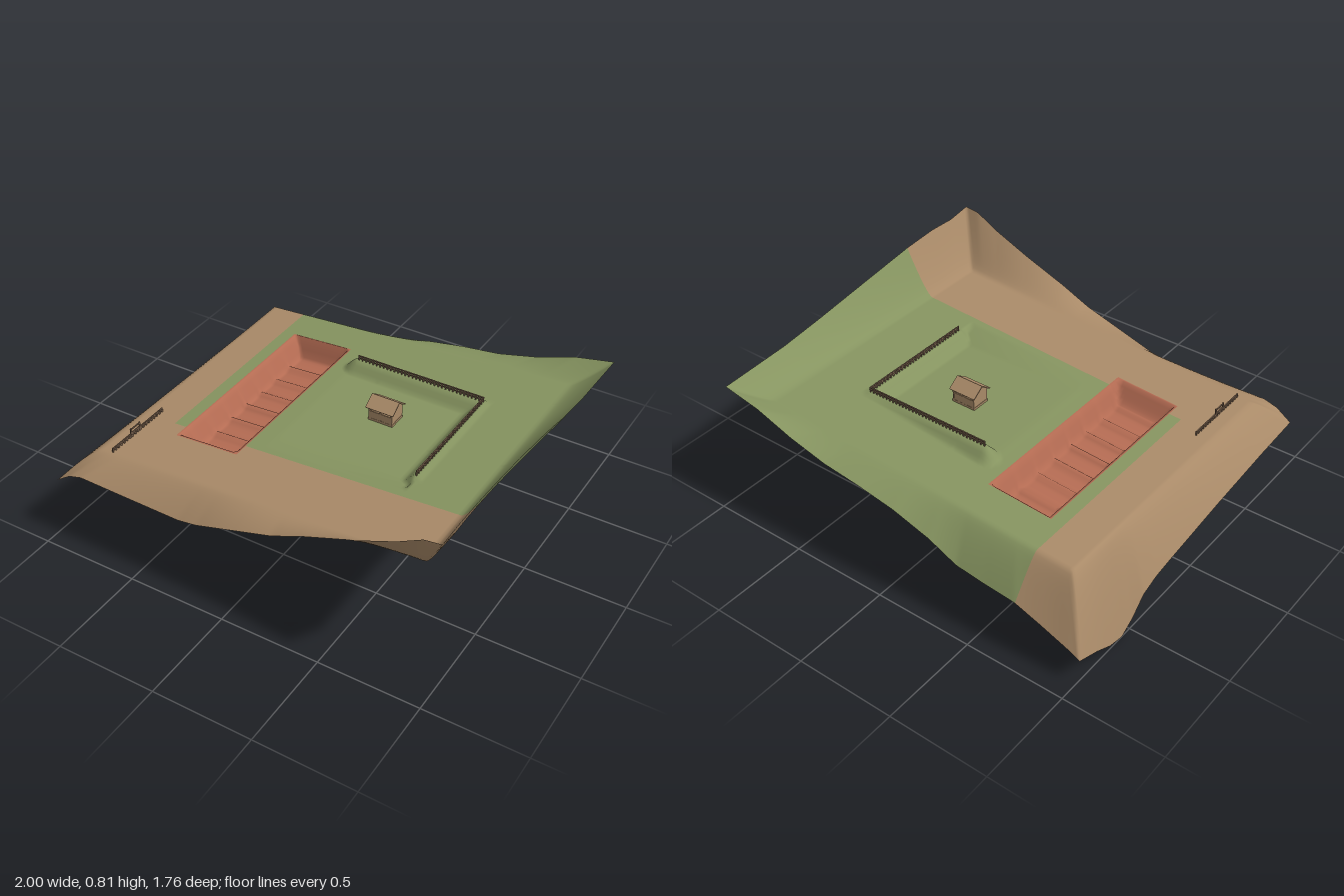
import * as THREE from 'three';

const HX = 1, HZ = 0.88, BORDER = 0.15, PAD_Y = 0.477, RIDGE_Y = 0.532;
const clamp01 = v => Math.min(1, Math.max(0, v));

// Heights along each outer edge: [position, height] pairs
const EDGES = {
  left: [[-0.88, 0.12], [-0.75, 0.07], [-0.65, 0.02], [-0.56, 0.0], [-0.48, 0.05], [-0.4, 0.13], [-0.3, 0.165], [-0.2, 0.18], [0.2, 0.23], [0.6, 0.27], [0.88, 0.29]],
  right: [[-0.88, 0.64], [-0.5, 0.66], [-0.25, 0.69], [0, 0.725], [0.4, 0.78], [0.6, 0.795], [0.75, 0.79], [0.88, 0.81]],
  front: [[-1, 0.29], [-0.92, 0.345], [-0.85, 0.365], [-0.6, 0.36], [-0.3, 0.355], [-0.2, 0.37], [0, 0.43], [0.2, 0.49], [0.36, 0.56], [0.6, 0.65], [0.8, 0.735], [0.92, 0.8], [1, 0.81]],
  back: [[-1, 0.12], [-0.94, 0.15], [-0.8, 0.205], [-0.66, 0.255], [-0.5, 0.27], [-0.35, 0.29], [-0.2, 0.36], [0, 0.42], [0.2, 0.455], [0.4, 0.48], [0.6, 0.53], [0.8, 0.6], [1, 0.64]],
};

function sample(table, v) {
  let i = 1;
  while (i < table.length - 1 && table[i][0] < v) i++;
  const [a, ya] = table[i - 1], [b, yb] = table[i];
  return ya + (yb - ya) * clamp01((v - a) / (b - a));
}

const plane = x => 0.487 + 0.065 * x;

// Distance to the L-shaped bank behind and beside the yard
function bankDistance(x, z) {
  const toBack = Math.hypot(x - Math.min(0.55, Math.max(-0.14, x)), z + 0.4);
  const toSide = Math.hypot(x - 0.55, z - Math.min(0.25, Math.max(-0.4, z)));
  return Math.min(toBack, toSide);
}

function height(x, z) {
  const tx = (Math.abs(x) - (HX - BORDER)) / BORDER;
  const tz = (Math.abs(z) - (HZ - BORDER)) / BORDER;
  const t = Math.max(tx, tz);
  // Mitred border slopes
  if (t > 0) {
    const sx = x / (HX - BORDER + BORDER * t), sz = z / (HZ - BORDER + BORDER * t);
    const edge = tx >= tz
      ? sample(x < 0 ? EDGES.left : EDGES.right, sz * HZ)
      : sample(z < 0 ? EDGES.back : EDGES.front, sx * HX);
    const base = plane(sx * (HX - BORDER));
    return base + (edge - base) * Math.pow(t, 1.3);
  }
  let y = plane(x);
  // Sunken basin with seven scalloped bays
  const side = clamp01(Math.min((x + 0.59) / 0.055, (-0.27 - x) / 0.045, (z + 0.535) / 0.035, (0.465 - z) / 0.07));
  if (side > 0) {
    const u = (z + 0.51) / 0.1286;
    const bay = 1 - Math.pow(Math.abs(2 * (u - Math.floor(u)) - 1), 4);
    return y - side * (0.085 + 0.027 * bay);
  }
  // Level yard, then its bank
  const w = clamp01((x + 0.2) / 0.05) * clamp01((0.36 - z) / 0.12) * (x < 0.55 && z > -0.4 ? 1 : 0);
  y += (PAD_Y - y) * w;
  return Math.max(y, RIDGE_Y - Math.max(0, bankDistance(x, z) - 0.014) * 1.15);
}

// Grid lines through the key positions
function lines(keys, step) {
  const out = [keys[0]];
  for (let i = 1; i < keys.length; i++) {
    const a = keys[i - 1], b = keys[i], n = Math.ceil((b - a) / step - 1e-6);
    for (let k = 1; k <= n; k++) out.push(a + (b - a) * k / n);
  }
  return out;
}

function buildTerrain(materials) {
  const xs = lines([-1, -0.85, -0.665, -0.6, -0.59, -0.535, -0.315, -0.27, -0.26, -0.2, -0.15, 0.5, 0.536, 0.564, 0.61, 0.85, 1], 0.018);
  const zs = lines([-0.88, -0.73, -0.54, -0.535, -0.5, -0.414, -0.386, -0.34, 0.24, 0.36, 0.395, 0.4, 0.465, 0.475, 0.73, 0.88], 0.016);
  const pos = [], faces = [[], [], []], nz = zs.length;
  for (const x of xs) for (const z of zs) pos.push(x, height(x, z), z);
  for (let i = 0; i < xs.length - 1; i++) {
    for (let j = 0; j < nz - 1; j++) {
      const x = (xs[i] + xs[i + 1]) / 2, z = (zs[j] + zs[j + 1]) / 2;
      const inBasin = x > -0.6 && x < -0.26 && z > -0.54 && z < 0.475;
      const kind = inBasin ? 2 : x > -0.665 && z < 0.4 ? 1 : 0;
      const a = i * nz + j, b = a + 1, c = a + nz, d = c + 1;
      // Diagonals follow the corner mitres
      if (x * z > 0) faces[kind].push(a, b, d, a, d, c);
      else faces[kind].push(a, b, c, c, b, d);
    }
  }
  const geo = new THREE.BufferGeometry();
  geo.setAttribute('position', new THREE.Float32BufferAttribute(pos, 3));
  geo.setIndex(faces.flat());
  let start = 0;
  faces.forEach((f, k) => { geo.addGroup(start, f.length, k); start += f.length; });
  geo.computeVertexNormals();
  const mesh = new THREE.Mesh(geo, materials);
  mesh.name = 'terrain';
  return mesh;
}

function box(parent, name, mat, w, h, d, x, y, z) {
  const m = new THREE.Mesh(new THREE.BoxGeometry(w, h, d), mat);
  m.position.set(x, y, z);
  m.name = name;
  parent.add(m);
  return m;
}

// Post-and-rail fence along x or z
function buildFence(name, mat, x0, z0, x1, z1, y, h, count) {
  const g = new THREE.Group();
  g.name = name;
  for (let i = 0; i <= count; i++) {
    const t = i / count;
    box(g, 'fencePost', mat, 0.006, h, 0.006, x0 + (x1 - x0) * t, y + h / 2, z0 + (z1 - z0) * t);
  }
  for (const f of [0.5, 0.88]) {
    box(g, 'fenceRail', mat, Math.abs(x1 - x0) + 0.005, 0.006, Math.abs(z1 - z0) + 0.005, (x0 + x1) / 2, y + h * f, (z0 + z1) / 2);
  }
  return g;
}

function buildHut(mat) {
  const hut = new THREE.Group();
  hut.name = 'hut';
  hut.position.set(0.183, PAD_Y, -0.115);
  box(hut, 'floor', mat, 0.13, 0.012, 0.1, 0, 0.006, 0);
  for (const s of [-1, 1]) {
    box(hut, 'lowWall', mat, 0.124, 0.042, 0.006, 0, 0.03, s * 0.046);
    box(hut, 'endWall', mat, 0.006, 0.07, 0.094, s * 0.06, 0.04, 0);
    for (const x of [-0.059, 0, 0.059]) box(hut, 'post', mat, 0.008, 0.08, 0.008, x, 0.04, s * 0.046);
    // Gable triangle
    const tri = new THREE.Shape([new THREE.Vector2(-0.05, 0.072), new THREE.Vector2(0.05, 0.072), new THREE.Vector2(0, 0.108)]);
    const gable = new THREE.Mesh(new THREE.ExtrudeGeometry(tri, { depth: 0.006, bevelEnabled: false }), mat);
    gable.name = 'gable';
    gable.rotation.y = Math.PI / 2;
    gable.position.x = s * 0.06 - 0.003;
    hut.add(gable);
    // Roof slope
    const roof = box(hut, 'roof', mat, 0.148, 0.006, 0.073, 0, 0.091, s * 0.03);
    roof.rotation.x = s * 0.6;
  }
  return hut;
}

export function createModel() {
  const colour = (name, color, side = THREE.FrontSide) => {
    const m = new THREE.MeshStandardMaterial({ color, side });
    m.name = name;
    return m;
  };
  const earth = colour('earth', 0xa98a68, THREE.DoubleSide);
  const grass = colour('grass', 0x869460, THREE.DoubleSide);
  const clay = colour('clay', 0xb56c53, THREE.DoubleSide);
  const wood = colour('wood', 0x7d6450);

  const model = new THREE.Group();
  model.name = 'earthworks';
  model.add(buildTerrain([earth, grass, clay]), buildHut(earth));

  // Fences on the bank
  model.add(buildFence('backFence', wood, -0.13, -0.4, 0.55, -0.4, RIDGE_Y - 0.002, 0.03, 34));
  model.add(buildFence('sideFence', wood, 0.55, -0.4, 0.55, 0.25, RIDGE_Y - 0.002, 0.03, 32));

  // Boundary fence with a taller gate
  const y = plane(-0.78) - 0.003;
  model.add(buildFence('boundaryFence', wood, -0.78, 0.35, -0.78, 0.72, y, 0.026, 18));
  model.add(buildFence('gate', wood, -0.78, 0.52, -0.78, 0.585, y, 0.052, 1));
  return model;
}
